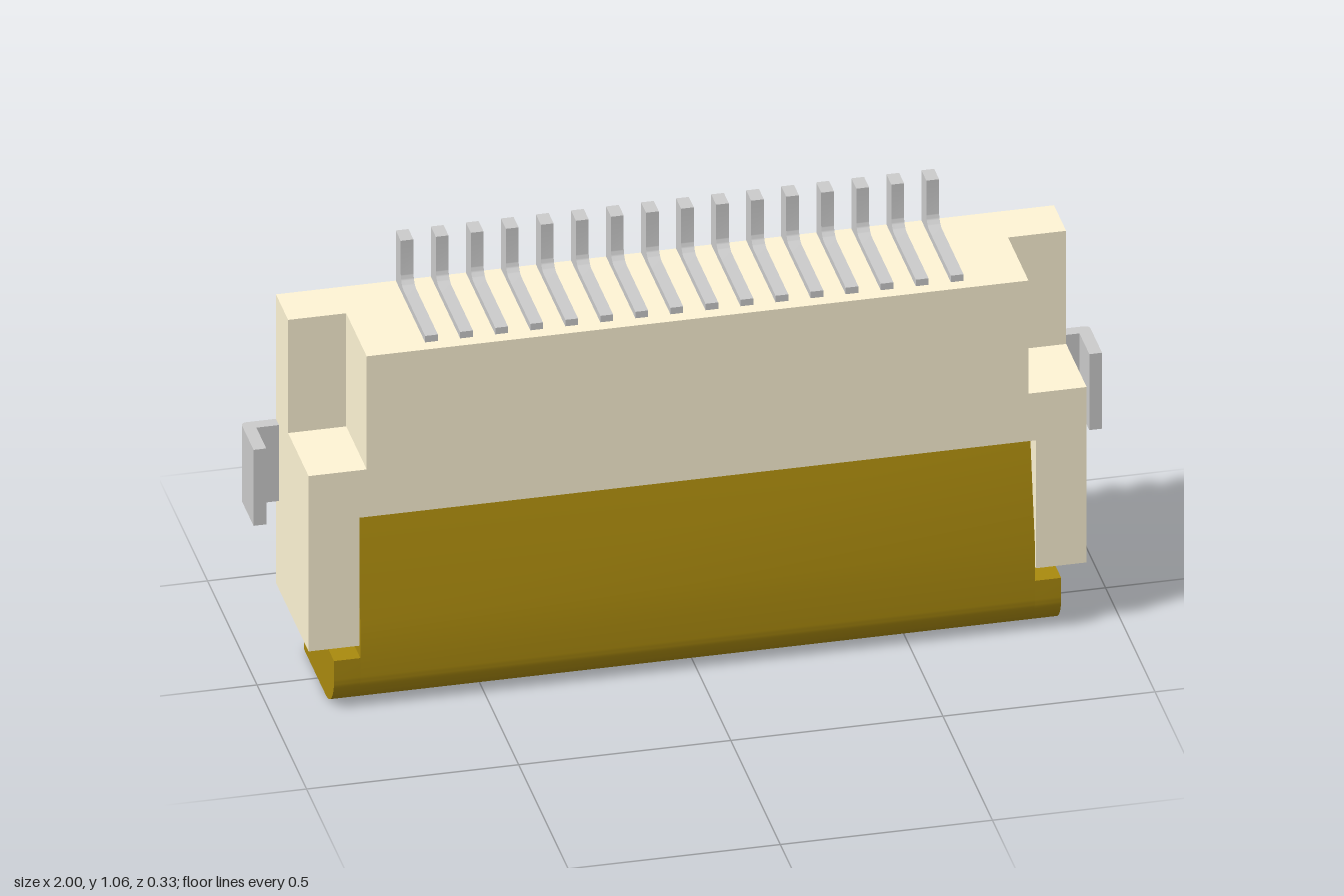
import * as THREE from 'three';
import { toCreasedNormals } from 'three/addons/utils/BufferGeometryUtils.js';

const plastic = new THREE.MeshStandardMaterial({ color: 0xfff5d5 });
const gold = new THREE.MeshStandardMaterial({ color: 0xaa8a0e });
const metal = new THREE.MeshStandardMaterial({ color: 0xcccccc });

const polygon = (pts) => new THREE.Shape(pts.map(([a, b]) => new THREE.Vector2(a, b)));
const extrude = (shape, depth) =>
  new THREE.ExtrudeGeometry(shape, { depth, bevelEnabled: false, curveSegments: 10 });

// Extrude a (z, y) profile along x, from x0 to x1
function alongX(shape, x0, x1) {
  const g = extrude(shape, x1 - x0);
  g.rotateY(-Math.PI / 2);
  g.translate(x1, 0, 0);
  return toCreasedNormals(g, 0.5);
}

function add(parent, name, geometry, material) {
  const mesh = new THREE.Mesh(geometry, material);
  mesh.name = name;
  parent.add(mesh);
  return mesh;
}

function box(x0, x1, y0, y1, z0, z1) {
  const g = new THREE.BoxGeometry(x1 - x0, y1 - y0, z1 - z0);
  g.translate((x0 + x1) / 2, (y0 + y1) / 2, (z0 + z1) / 2);
  return g;
}

// Slider cross-section: rounded lower front edge, then an optional sloped top
function sliderProfile(back, top, topFront, slopeStart) {
  const s = new THREE.Shape();
  s.moveTo(back, 0);
  s.lineTo(0.08, 0);
  s.absarc(0.08, 0.085, 0.085, -Math.PI / 2, 0, false);
  s.lineTo(0.165, slopeStart);
  s.lineTo(topFront, top);
  s.lineTo(back, top);
  s.closePath();
  return s;
}

export function createModel() {
  const model = new THREE.Group();
  model.name = 'flatCableConnector';

  // Housing: full back slab, front slab with corner notches and slider opening
  const housing = new THREE.Group();
  housing.name = 'housing';
  model.add(housing);
  add(housing, 'housingBack', box(-0.917, 0.917, 0.168, 0.928, -0.165, -0.042), plastic);
  const half = [[0.797, 0.505], [0.797, 0.168], [0.917, 0.168], [0.917, 0.63], [0.78, 0.63], [0.78, 0.928]];
  const outline = [...half, ...half.map(([x, y]) => [-x, y]).reverse()];
  const front = extrude(polygon(outline), 0.207);
  front.translate(0, 0, -0.042);
  add(housing, 'housingFront', front, plastic);

  // Sliding lock bar
  const slider = new THREE.Group();
  slider.name = 'slider';
  model.add(slider);
  add(slider, 'sliderTongue', alongX(sliderProfile(-0.04, 0.504, 0.115, 0.23), -0.795, 0.795), gold);
  for (const side of [-1, 1]) {
    const [e0, e1] = side > 0 ? [0.795, 0.857] : [-0.857, -0.795];
    add(slider, 'sliderEar', alongX(sliderProfile(-0.137, 0.135, 0.165, 0.135), e0, e1), gold);
    const [b0, b1] = side > 0 ? [0.715, 0.795] : [-0.795, -0.715];
    add(slider, 'sliderBackBlock', box(b0, b1, 0, 0.18, -0.137, -0.04), gold);
  }

  // Row of bent contact pins
  const pins = new THREE.Group();
  pins.name = 'contactPins';
  model.add(pins);
  const pin = new THREE.Shape();
  pin.moveTo(-0.165, 0.928);
  pin.lineTo(0.132, 0.928);
  pin.lineTo(0.132, 0.945);
  pin.lineTo(-0.085, 0.945);
  pin.absarc(-0.085, 0.975, 0.03, -Math.PI / 2, -Math.PI, true);
  pin.lineTo(-0.115, 1.06);
  pin.lineTo(-0.165, 1.06);
  pin.closePath();
  const pinGeometry = alongX(pin, -0.015, 0.015);
  for (let i = 0; i < 16; i++) {
    add(pins, 'contactPin', pinGeometry, metal).position.x = (i - 7.5) * 0.0826;
  }

  // L-shaped solder tabs on both ends
  for (const side of [-1, 1]) {
    const tab = new THREE.Shape();
    const r = 0.015;
    tab.moveTo(side * 0.917, -0.165);
    tab.lineTo(side * (1 - r), -0.165);
    tab.quadraticCurveTo(side, -0.165, side, -0.165 + r);
    tab.lineTo(side, -0.035);
    tab.lineTo(side * 0.97, -0.035);
    tab.lineTo(side * 0.97, -0.135);
    tab.lineTo(side * 0.917, -0.135);
    tab.closePath();
    const g = extrude(tab, 0.2);
    g.rotateX(Math.PI / 2);
    g.translate(0, 0.6, 0);
    add(model, side > 0 ? 'leftSolderTab' : 'rightSolderTab', toCreasedNormals(g, 0.5), metal);
  }

  return model;
}
